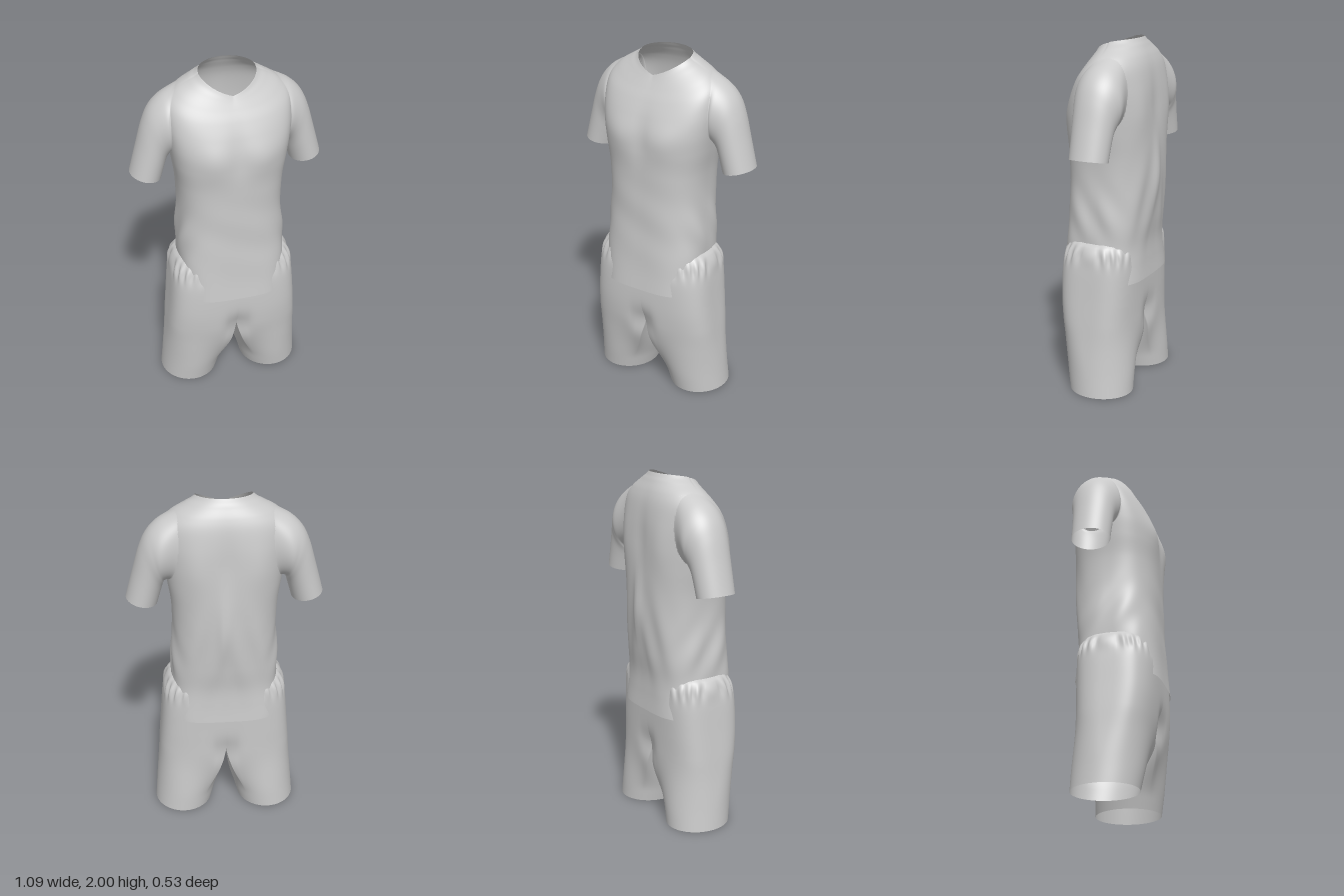
import * as THREE from 'three';

const cloth = new THREE.MeshStandardMaterial({ color: 0xcacaca, side: THREE.DoubleSide });
cloth.name = 'light grey cloth';

const gauss = (d, w) => Math.exp(-((d / w) ** 2));
const spow = (v, p) => Math.sign(v) * Math.abs(v) ** p;

// Smooth interpolation through rows of numbers, t = 0..1
function sample(rows, t) {
  const f = t * (rows.length - 1);
  const i = Math.min(Math.floor(f), rows.length - 2);
  const k = f - i;
  const at = (n) => rows[Math.max(0, Math.min(rows.length - 1, n))];
  return rows[0].map((_, c) => {
    const [a, b, d, e] = [at(i - 1)[c], at(i)[c], at(i + 1)[c], at(i + 2)[c]];
    return b + 0.5 * k * (d - a + k * (2 * a - 5 * b + 4 * d - e + k * (3 * (b - d) + e - a)));
  });
}

// Closed rings joined into a skin; keep(u, v) decides which faces exist
function loft(name, nu, nv, point, keep = () => true) {
  const pos = [];
  const idx = [];
  for (let j = 0; j <= nv; j++)
    for (let i = 0; i < nu; i++) pos.push(...point(i / nu, j / nv));
  for (let j = 0; j < nv; j++)
    for (let i = 0; i < nu; i++) {
      if (!keep((i + 0.5) / nu, (j + 0.5) / nv)) continue;
      const a = j * nu + i, b = j * nu + ((i + 1) % nu);
      idx.push(a, b, b + nu, a, b + nu, a + nu);
    }
  const g = new THREE.BufferGeometry();
  g.setAttribute('position', new THREE.Float32BufferAttribute(pos, 3));
  g.setIndex(idx);
  g.computeVertexNormals();
  const mesh = new THREE.Mesh(g, cloth);
  mesh.name = name;
  return mesh;
}

// Shirt body rings: side height, front height, half width, front z, back z, roundness
const body = [
  [0.65, 0.65, 0.29, 0.26, -0.224, 3.5],
  [0.75, 0.75, 0.295, 0.252, -0.217, 3.3],
  [0.86, 0.86, 0.304, 0.246, -0.216, 3],
  [1.0, 1.0, 0.304, 0.24, -0.232, 2.7],
  [1.2, 1.2, 0.292, 0.238, -0.246, 2.6],
  [1.36, 1.36, 0.297, 0.24, -0.248, 2.6],
  [1.5, 1.49, 0.318, 0.243, -0.245, 2.6],
  [1.62, 1.59, 0.335, 0.236, -0.24, 2.6],
  [1.74, 1.68, 0.347, 0.21, -0.232, 2.5],
  [1.84, 1.76, 0.337, 0.175, -0.217, 2.4],
  [1.902, 1.82, 0.285, 0.142, -0.197, 2.3],
  [1.943, 1.86, 0.215, 0.119, -0.17, 2.1],
  [1.962, 1.876, 0.178, 0.11, -0.155, 2],
  [1.978, 1.887, 0.157, 0.104, -0.144, 2],
];

function bodyPoint(u, v) {
  const [yS, yF, w, zf, zb, p] = sample(body, v);
  const a = u * Math.PI * 2;
  const s = spow(Math.sin(a), 2 / p), c = spow(Math.cos(a), 2 / p);
  // the hem is wider behind
  const x = w * s * (1 + 0.1 * gauss(yS - 0.65, 0.14) * Math.sqrt(Math.max(0, -c)));
  // neckline dips to a soft point in front and rises at the nape
  const nape = gauss(yS - 1.978, 0.05);
  const dip = THREE.MathUtils.lerp(Math.max(0, c) ** 1.4, 1 - Math.abs(s), 0.5 * nape);
  const y = c > 0 ? yS + (yF - yS) * dip : yS + 0.022 * nape * Math.sqrt(-c);
  let z = (zf + zb) / 2 + ((zf - zb) / 2) * c;
  if (c > 0) {
    // chest and light front creases
    z += c * 0.012 * gauss(Math.abs(x) - 0.14, 0.09) * gauss(y - 1.56, 0.1);
    z -= c * 0.008 * gauss(x, 0.05) * gauss(y - 1.58, 0.14);
    z += c * 0.002 * Math.sin(11 * x + 23 * y) * gauss(y - 1.1, 0.25);
  } else {
    // shoulder blades, spine and hanging back folds
    z -= -c * 0.012 * gauss(Math.abs(x) - 0.18, 0.08) * gauss(y - 1.62, 0.16);
    z += -c * 0.008 * gauss(x, 0.05) * gauss(y - 1.65, 0.17);
    z -= -c * 0.016 * gauss(x - 0.015, 0.035) * gauss(y - 1.24, 0.2);
    z += -c * 0.005 * Math.cos(42 * Math.abs(x) + 9 * (y - 1)) * gauss(y - 1.1, 0.22);
  }
  // slanting folds on the flanks
  const side = Math.abs(s) ** 4;
  const fold = 0.006 * Math.sin(34 * z - 20 * y) * gauss(y - 1.03, 0.15);
  return [x + Math.sign(x) * side * fold, y, z];
}

// Armhole: an oval cut out of the shirt body on each side
const HOLE = { u: 0.287, v: 0.63, du: 0.093, dv: 0.152 };
const outsideArmhole = (u, v) =>
  Math.hypot((Math.min(u, 1 - u) - HOLE.u) / HOLE.du, (v - HOLE.v) / HOLE.dv) > 1;
const armhole = (a, size) =>
  bodyPoint(HOLE.u - size * HOLE.du * Math.sin(a), HOLE.v + size * HOLE.dv * Math.cos(a));

// Sleeve rings: outer x, y, inner x, y, centre z, half depth
const sleeve = [
  [0.355, 1.865, 0.331, 1.515, -0.058, 0.142],
  [0.42, 1.8, 0.338, 1.495, -0.06, 0.131],
  [0.463, 1.71, 0.345, 1.47, -0.058, 0.12],
  [0.503, 1.57, 0.355, 1.435, -0.056, 0.114],
  [0.545, 1.412, 0.372, 1.375, -0.055, 0.11],
];

// Each lengthwise line leaves the body smoothly and runs to the cuff
function sleevePoint(u, v, m) {
  const a = u * Math.PI * 2;
  const k = (1 + Math.cos(a)) / 2;
  const line = sleeve.map(([ox, oy, ix, iy, zc, d]) =>
    [ix + (ox - ix) * k, iy + (oy - iy) * k, zc + d * Math.sin(a)]);
  const [x, y, z] = sample([armhole(a, 1.12), armhole(a, 1), ...line], v);
  return [m * x, y, z];
}

// Shorts rings for one leg: height, outer x, inner x, front z, back z, squareness
const leg = [
  [0.885, 0.3, 0, 0.2, -0.18, 0.7],
  [0.86, 0.328, 0, 0.212, -0.19, 0.66],
  [0.81, 0.348, 0, 0.228, -0.203, 0.6],
  [0.72, 0.36, 0, 0.241, -0.206, 0.57],
  [0.56, 0.373, 0, 0.243, -0.204, 0.57],
  [0.43, 0.384, 0, 0.236, -0.203, 0.6],
  [0.3, 0.394, 0.016, 0.219, -0.204, 0.64],
  [0.15, 0.408, 0.044, 0.192, -0.205, 0.64],
  [0, 0.42, 0.082, 0.165, -0.206, 0.64],
];
const SPLIT = 0.65; // share of the ring on the outside
const CROTCH = 5 / 8; // the row where the legs part

function legPoint(u, v, m) {
  const [y, o, i, zf, zb, p] = sample(leg, v);
  const zc = (zf + zb) / 2, hz = (zf - zb) / 2;
  const outside = u <= SPLIT;
  const k = outside ? u / SPLIT : (u - SPLIT) / (1 - SPLIT);
  // half hip section
  const a = k * Math.PI;
  let x = outside ? o * spow(Math.sin(a), p) : 0;
  let z = zc + hz * (outside ? spow(Math.cos(a), p) : 2 * k - 1);
  // round leg section, blended in below the crotch
  const f = THREE.MathUtils.degToRad(outside ? -40 + 260 * k : 220 + 100 * k);
  const b = v <= CROTCH ? 0 : THREE.MathUtils.smoothstep(0.43 - y, 0, 0.36);
  const h = (o - i) / 2;
  x += (1 - b) * i * (1 - x / o);
  x += b * (i + h + h * Math.sin(f) - x);
  z += b * (zc + hz * Math.cos(f) - z);
  // hollow where the legs meet, front and back
  const hollow = gauss(x, 0.06) * gauss(y - 0.41, 0.09);
  z -= (z > 0 ? 0.04 * z / zf : -0.03 * z / zb) * hollow;
  // elastic gathers at the waist
  const g = gauss(y - 0.815, 0.045) * (0.022 * Math.sin(u * 120) - 0.006) * Math.min(1, x / 0.15);
  return [m * x * (1 + g), y, z * (1 + g)];
}

export function createModel() {
  const model = new THREE.Group();
  model.name = 'shirtAndShorts';

  const shirt = new THREE.Group();
  shirt.name = 'shirt';
  shirt.add(loft('shirtBody', 160, 130, bodyPoint, outsideArmhole));
  model.add(shirt);

  const shorts = new THREE.Group();
  shorts.name = 'shorts';
  model.add(shorts);

  for (const [m, side] of [[1, 'left'], [-1, 'right']]) {
    shirt.add(loft(side + 'Sleeve', 64, 48, (u, v) => sleevePoint(u, v, m)));
    shorts.add(loft(side + 'ShortsLeg', 120, 80, (u, v) => legPoint(u, v, m),
      (u, v) => u < SPLIT || v > CROTCH));
  }
  return model;
}
